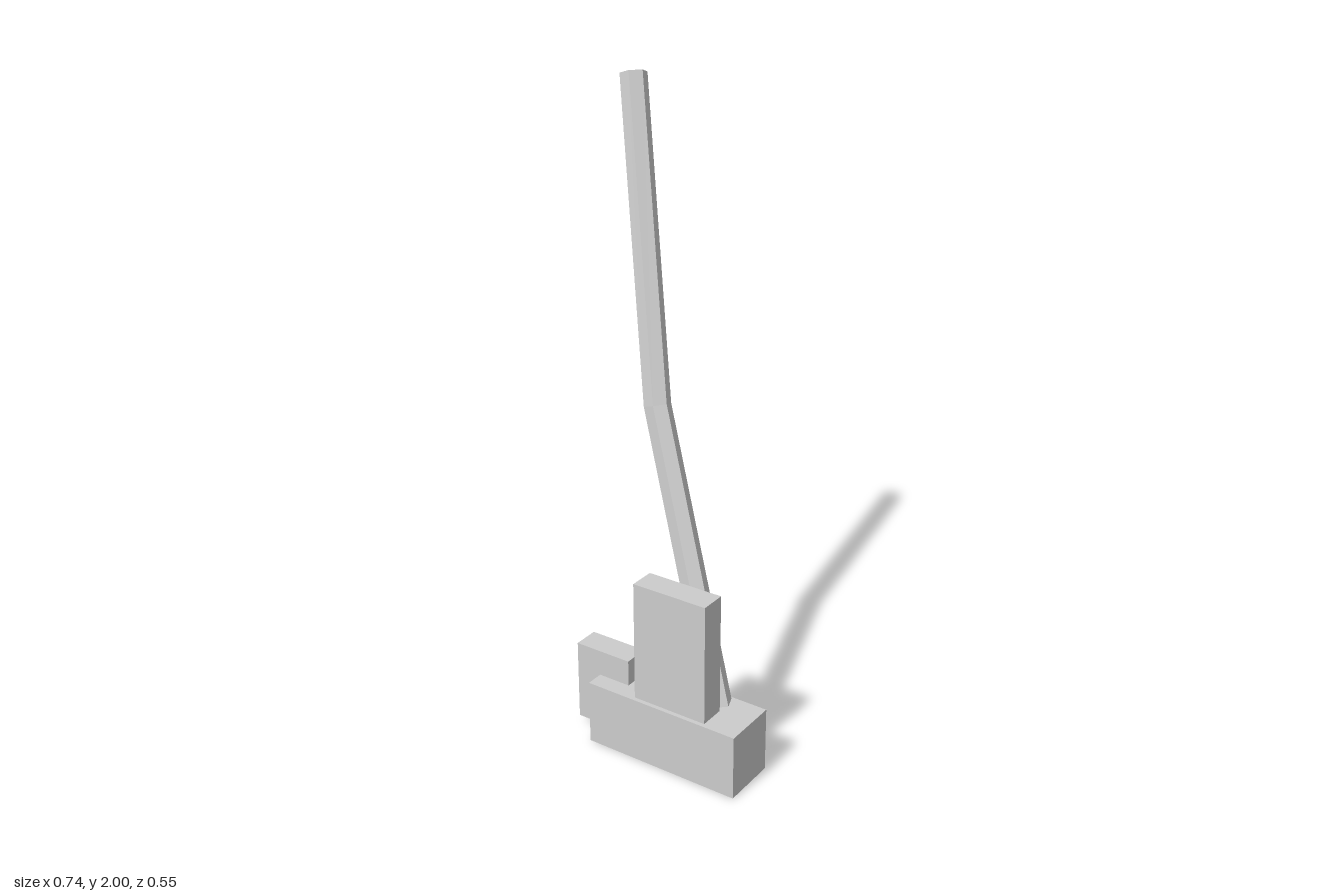
import * as THREE from 'three';

const grey = new THREE.MeshStandardMaterial({ color: 0xcccccc, flatShading: true });

// Box given by its minimum and maximum corners
function block(name, [x0, y0, z0], [x1, y1, z1]) {
  const mesh = new THREE.Mesh(new THREE.BoxGeometry(x1 - x0, y1 - y0, z1 - z0), grey);
  mesh.position.set((x0 + x1) / 2, (y0 + y1) / 2, (z0 + z1) / 2);
  mesh.name = name;
  return mesh;
}

// Six-sided rod through the given points, with mitred joints and capped ends
function bentRod(name, points, radius, sides, turn) {
  const path = points.map((p) => new THREE.Vector3(...p));
  const last = path.length - 1;
  const steps = path.slice(1).map((p, i) => p.clone().sub(path[i]).normalize());
  const rings = path.map((c, k) => {
    const n = steps[Math.max(k - 1, 0)].clone().add(steps[Math.min(k, last - 1)]);
    return Array.from({ length: sides }, (_, i) => {
      const a = turn + (i / sides) * Math.PI * 2;
      const x = radius * Math.cos(a), z = radius * Math.sin(a);
      return new THREE.Vector3(c.x + x, c.y - (n.x * x + n.z * z) / n.y, c.z + z);
    });
  });

  const corners = [];
  for (let i = 0; i < sides; i++) {
    const j = (i + 1) % sides;
    for (let k = 0; k < last; k++) {
      const a = rings[k], b = rings[k + 1];
      corners.push(a[i], b[i], a[j], a[j], b[i], b[j]);
    }
    corners.push(path[0], rings[0][i], rings[0][j]);
    corners.push(path[last], rings[last][j], rings[last][i]);
  }
  const geometry = new THREE.BufferGeometry().setFromPoints(corners);
  geometry.computeVertexNormals();
  const mesh = new THREE.Mesh(geometry, grey);
  mesh.name = name;
  return mesh;
}

export function createModel() {
  const model = new THREE.Group();
  model.name = 'leverOnBase';

  // Blocks of the base
  model.add(
    block('base', [-0.16, 0, 0.09], [0.37, 0.21, 0.272]),
    block('sideBlock', [-0.246, 0.03, 0.132], [-0.05, 0.295, 0.215]),
    block('uprightPlate', [0.005, 0.2, 0.174], [0.258, 0.6, 0.258])
  );

  // Long bent handle, its foot sunk into the base
  const handlePath = [[0.243, 0.15, 0.138], [-0.103, 1.05, -0.024], [-0.33, 1.987, -0.233]];
  model.add(bentRod('handle', handlePath, 0.042, 6, THREE.MathUtils.degToRad(14)));

  return model;
}
